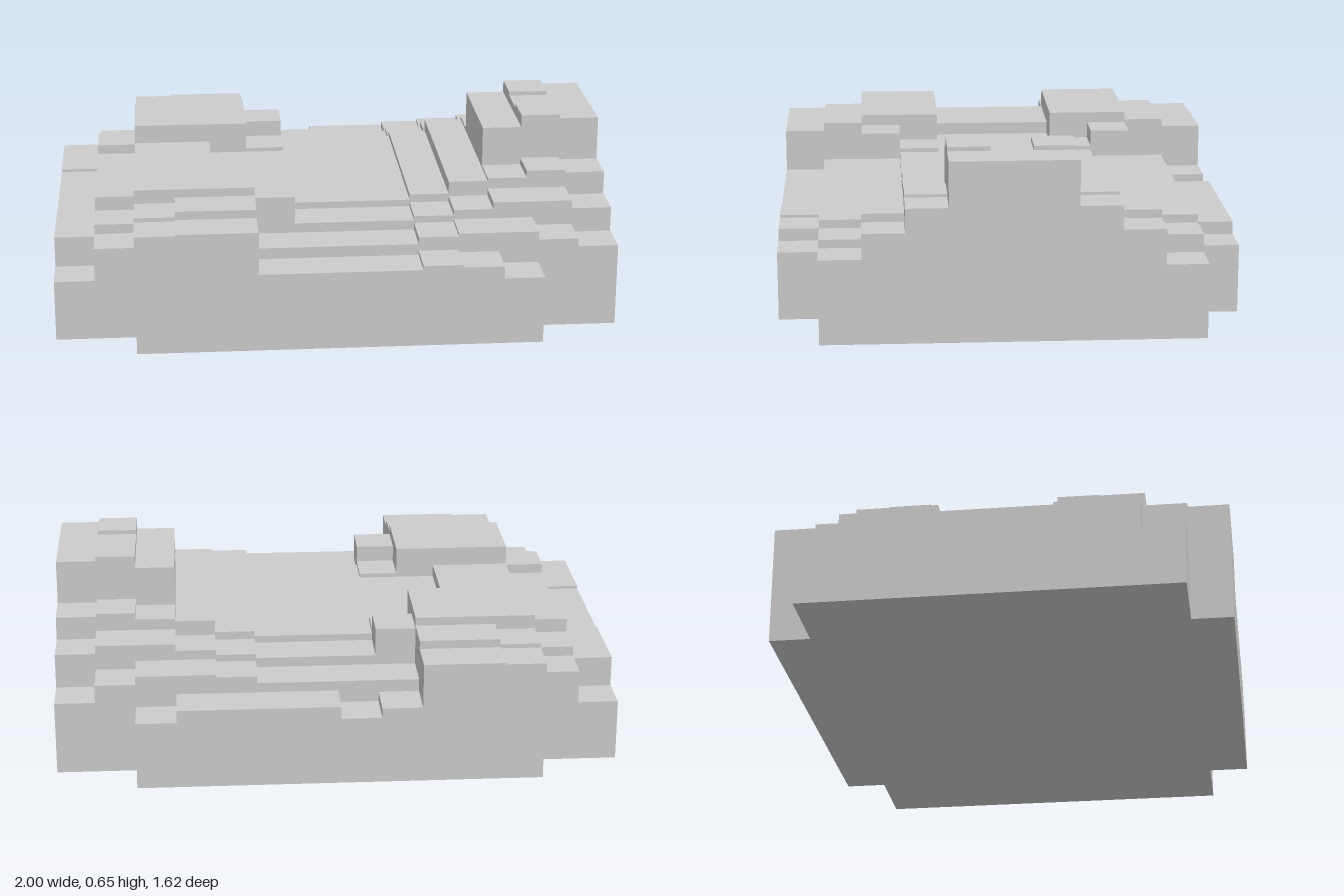
import * as THREE from 'three';

const COLS = 14, ROWS = 11, DX = 2 / COLS, DZ = 1.62 / ROWS;

// Column heights from -x to +x, in hundredths; 0 leaves the cell empty
const edge = [0, 0, 43.5, 44, 44, 28.5, 28.5, 28.5, 28.5, 30, 29, 24.5, 0, 0];
const backEdge = [0, 0, 43.5, 44, 44, 28, 24.5, 29, 29, 29, 29, 24.5, 0, 0];
const lower = [22, 34, 45, 47, 47, 32.5, 32.5, 32.5, 32.5, 35, 36, 36, 33, 30];
const backLower = [...lower.slice(0, 13), 26.5];
const middle = [33, 37.5, 50, 50, 50, 46, 36, 36, 36, 37.5, 39.5, 42, 42, 39];
const upper = [33, 42.5, 50, 50, 50, 40, 38.5, 38.5, 38.5, 40.5, 45, 46, 48.5, 47.5];
const basin = [32, 39, 43, 43, 38.5, 38.5, 38.5, 38.5, 38.5, 40.5, 45, 60.5, 65, 63.5];
const centre = [...basin.slice(0, 12), 63.5, 63.5];

// Rows from back to front
const heights = [backEdge, backLower, middle, upper, basin, centre, basin, upper, middle, lower, edge];
const heightAt = (c, r) => (heights[r]?.[c] ?? 0) / 100;

function createTerrainGeometry() {
  const pos = [];
  const quad = (a, b, c, d) => pos.push(...a, ...b, ...c, ...a, ...c, ...d);
  for (let r = 0; r < ROWS; r++) {
    for (let c = 0; c < COLS; c++) {
      const h = heightAt(c, r);
      if (!h) continue;
      const x0 = -1 + c * DX, x1 = x0 + DX;
      const z0 = -0.81 + r * DZ, z1 = z0 + DZ;
      // Top and underside
      quad([x0, h, z1], [x1, h, z1], [x1, h, z0], [x0, h, z0]);
      quad([x0, 0, z0], [x1, 0, z0], [x1, 0, z1], [x0, 0, z1]);
      // Exposed walls down to each lower neighbour
      const wall = (n, ax, az, bx, bz) => {
        if (n < h) quad([ax, n, az], [bx, n, bz], [bx, h, bz], [ax, h, az]);
      };
      wall(heightAt(c, r + 1), x0, z1, x1, z1);
      wall(heightAt(c, r - 1), x1, z0, x0, z0);
      wall(heightAt(c + 1, r), x1, z1, x1, z0);
      wall(heightAt(c - 1, r), x0, z0, x0, z1);
    }
  }
  const geometry = new THREE.BufferGeometry();
  geometry.setAttribute('position', new THREE.Float32BufferAttribute(pos, 3));
  geometry.computeVertexNormals();
  return geometry;
}

export function createModel() {
  const group = new THREE.Group();
  group.name = 'steppedTerrain';
  const material = new THREE.MeshStandardMaterial({ color: 0xcccccc, flatShading: true });
  const terrain = new THREE.Mesh(createTerrainGeometry(), material);
  terrain.name = 'terrainBlocks';
  group.add(terrain);
  return group;
}
